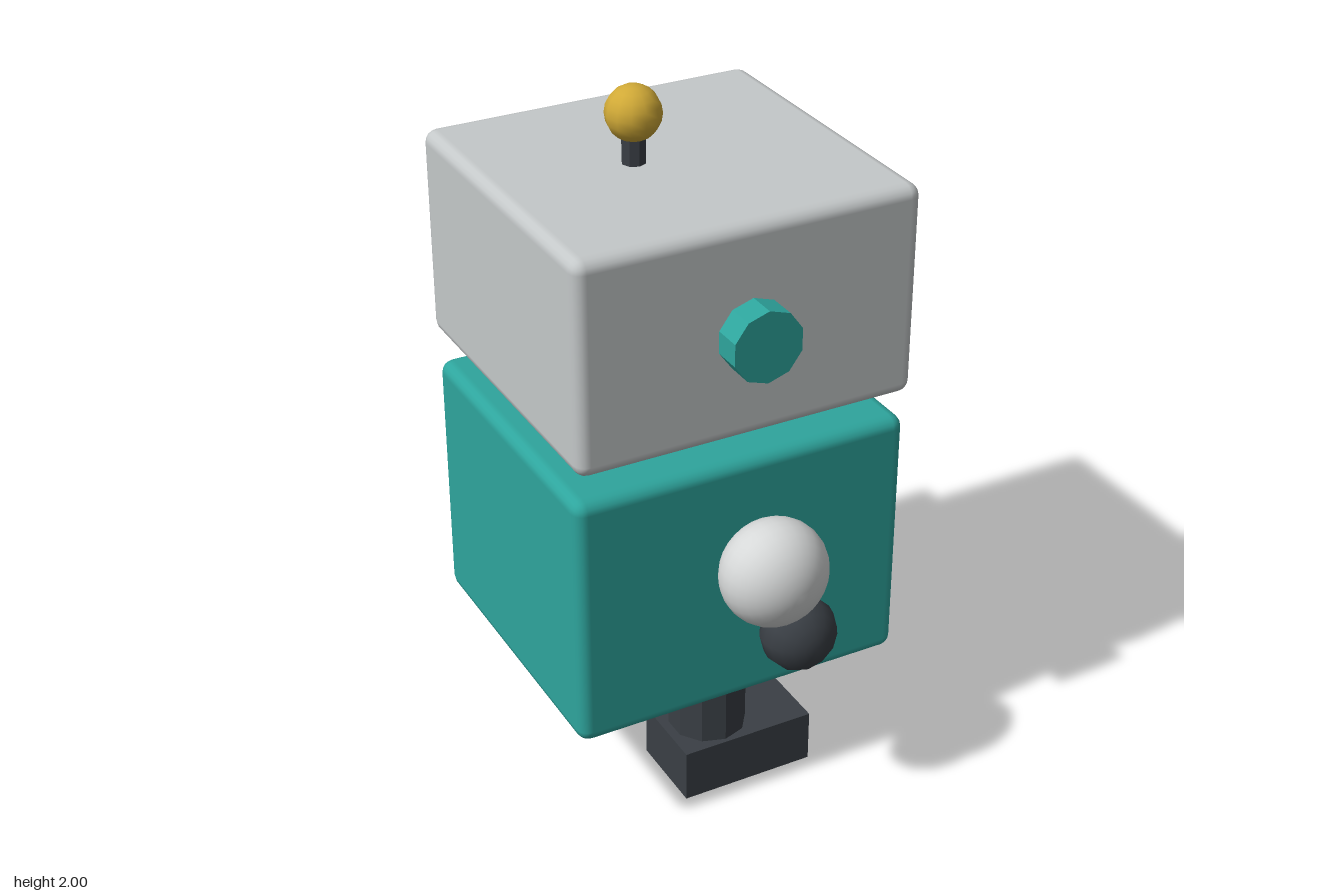
import * as THREE from 'three';
import { RoundedBoxGeometry } from 'three/addons/geometries/RoundedBoxGeometry.js';

const mat = (name, color) => {
  const m = new THREE.MeshStandardMaterial({ color });
  m.name = name;
  return m;
};

// Cylinder along the given axis, faceted when it has few sides
function cylinder(radius, length, sides, axis = 'y') {
  let g = new THREE.CylinderGeometry(radius, radius, length, sides);
  if (axis === 'x') g.rotateZ(-Math.PI / 2);
  if (axis === 'z') g.rotateX(Math.PI / 2);
  if (sides <= 12) {
    g = g.toNonIndexed();
    g.computeVertexNormals();
  }
  return g;
}

// Ball with its poles on z, squashed along z
function ball(radius, depth, around, along) {
  return new THREE.SphereGeometry(radius, around, along)
    .rotateX(Math.PI / 2)
    .scale(1, 1, depth / radius);
}

export function createModel() {
  const robot = new THREE.Group();
  robot.name = 'robot';

  const teal = mat('teal', 0x2ea59d);
  const grey = mat('light grey', 0xc4c8c9);
  const white = mat('pale grey', 0xd6d8d8);
  const dark = mat('dark grey', 0x3a3f45);
  const black = mat('black', 0x222222);
  const cyan = mat('cyan', 0x68c5cc);
  const gold = mat('gold', 0xd1aa37);
  const orange = mat('orange', 0xca733a);

  const add = (name, geometry, material, x, y, z) => {
    const mesh = new THREE.Mesh(geometry, material);
    mesh.name = name;
    mesh.position.set(x, y, z);
    robot.add(mesh);
    return mesh;
  };

  // Body, neck and head; the face looks along +x
  add('body', new RoundedBoxGeometry(0.97, 0.745, 0.88, 2, 0.035), teal, -0.035, 0.7375, 0);
  add('neck', cylinder(0.13, 0.14, 10), dark, -0.037, 1.15, 0);
  add('head', new RoundedBoxGeometry(0.97, 0.595, 0.925, 2, 0.035), grey, -0.035, 1.4925, 0);

  // Face screen with a single eye
  add('screen', new THREE.BoxGeometry(0.06, 0.415, 0.76), black, 0.445, 1.4925, 0);
  add('eye', cylinder(0.143, 0.05, 32, 'x'), cyan, 0.485, 1.495, 0);
  add('pupil', cylinder(0.056, 0.04, 20, 'x'), black, 0.5, 1.505, 0);

  // Chest panel and knob
  add('chestPanel', new THREE.BoxGeometry(0.06, 0.26, 0.356), orange, 0.455, 0.695, 0);
  add('chestKnob', cylinder(0.064, 0.05, 12, 'x'), gold, 0.495, 0.695, 0);

  // Antenna
  add('antennaRod', cylinder(0.033, 0.12, 8), dark, -0.127, 1.82, 0);
  add('antennaBall', new THREE.SphereGeometry(0.075, 12, 10), gold, -0.127, 1.925, 0);

  // Mirrored ears, arms, legs and feet
  for (const [side, s] of [['front', 1], ['back', -1]]) {
    add(`${side}Ear`, cylinder(0.1, 0.11, 10, 'z'), teal, -0.036, 1.49, s * 0.488);
    add(`${side}Arm`, ball(0.151, 0.13, 28, 16), white, 0.006, 0.806, s * 0.523);
    add(`${side}Hand`, ball(0.107, 0.096, 12, 10), dark, 0.073, 0.606, s * 0.545);
    add(`${side}Leg`, cylinder(0.11, 0.26, 10), dark, -0.037, 0.26, s * 0.245);
    add(`${side}Foot`, new THREE.BoxGeometry(0.396, 0.155, 0.244), dark, 0.03, 0.0775, s * 0.245);
  }

  return robot;
}
